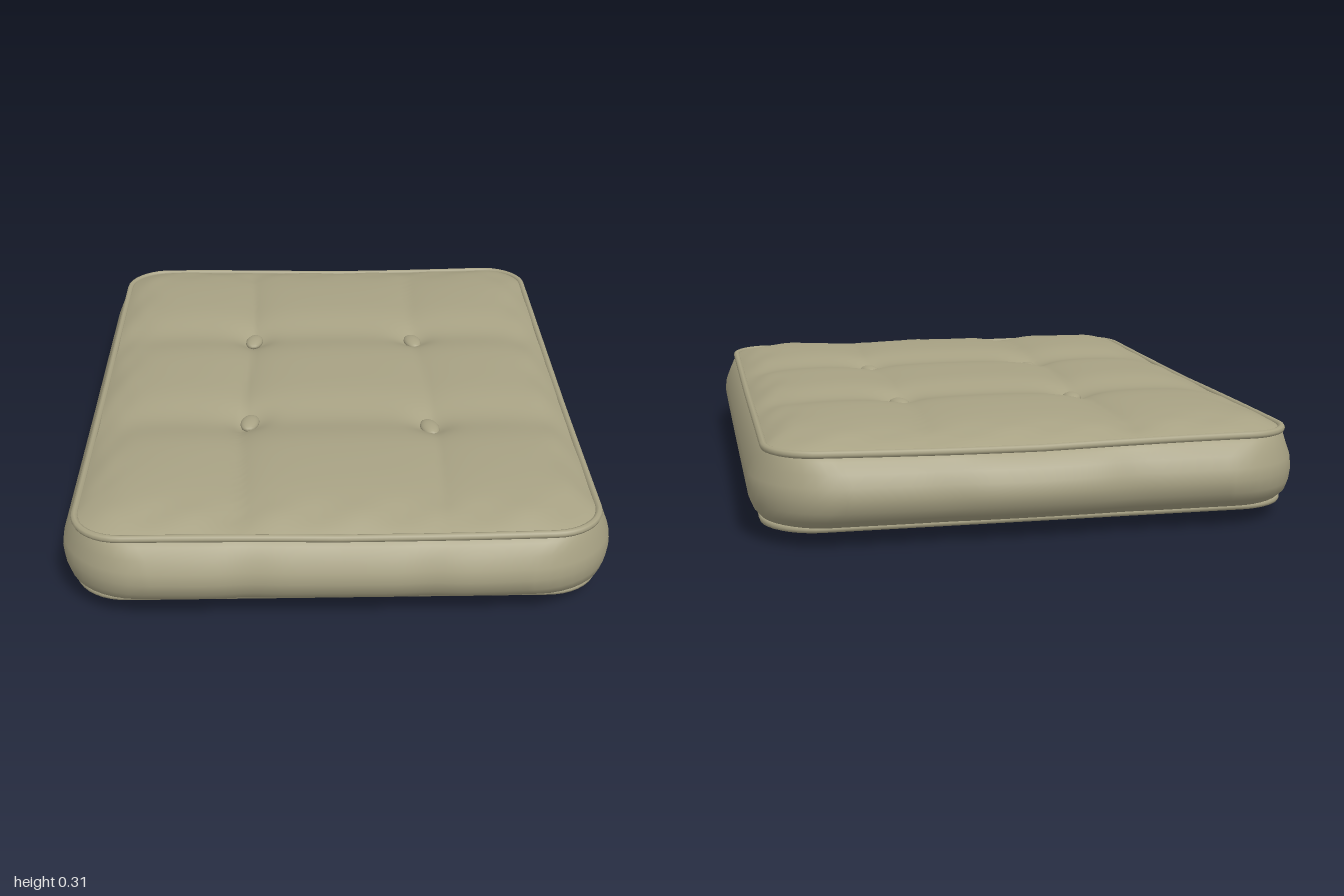
import * as THREE from 'three';

const EDGE = 56, CORNER = 10;
const gauss = (d, w) => Math.exp(-(d * d) / (w * w));
const TUFTS = [[-0.26, -0.3], [0.29, -0.29], [-0.26, 0.29], [0.3, 0.33]];
const FEET = [[-0.61, -0.69], [0.61, -0.69], [-0.61, 0.69], [0.61, 0.69]];

// Rounded rectangle in the xz plane; the same point count for any size
function outline(hx, hz, r) {
  const pts = [];
  const corners = [[1, 1], [-1, 1], [-1, -1], [1, -1]];
  corners.forEach(([sx, sz], c) => {
    const cx = sx * (hx - r), cz = sz * (hz - r);
    for (let i = 0; i <= CORNER; i++) {
      const a = (c + i / CORNER) * Math.PI / 2;
      pts.push([cx + r * Math.cos(a), cz + r * Math.sin(a)]);
    }
    const [nx, nz] = corners[(c + 1) % 4];
    const a = (c + 1) * Math.PI / 2;
    const from = pts[pts.length - 1];
    const to = [nx * (hx - r) + r * Math.cos(a), nz * (hz - r) + r * Math.sin(a)];
    for (let i = 1; i < EDGE; i++) {
      const t = i / EDGE;
      pts.push([from[0] + (to[0] - from[0]) * t, from[1] + (to[1] - from[1]) * t]);
    }
  });
  return pts;
}

// Skin a stack of closed rings, listed from below to above
function loft(rings) {
  const n = rings[0].length, index = [];
  for (let j = 0; j < rings.length - 1; j++) {
    for (let i = 0; i < n; i++) {
      const a = j * n + i, b = j * n + (i + 1) % n;
      index.push(a, a + n, b, b, a + n, b + n);
    }
  }
  const g = new THREE.BufferGeometry();
  g.setAttribute('position', new THREE.Float32BufferAttribute(rings.flat(2), 3));
  g.setIndex(index);
  g.computeVertexNormals();
  return g;
}

// Seams lift a little toward the corners
const rimLift = (x, z) => 0.008 * Math.min(1, Math.abs(x * z) / 0.6) + 0.002 * Math.sin(5 * x + 3 * z);
const TOP_RIM = outline(0.74, 0.935, 0.14);
const BOTTOM_RIM = outline(0.745, 0.91, 0.15);

// Pillowed surface with pulled creases and tufts
function topHeight(x, z, k) {
  const d = (1 - k) * 0.8;
  const rise = 1 - Math.exp(-d / 0.09);
  let y = 0.25 + rimLift(x, z) * (1 - rise) + 0.061 * rise;
  const wobble = 0.012 * Math.sin(4 * z);
  y -= rise * 0.026 * Math.exp(-Math.abs(x + 0.275 + wobble) / 0.07);
  y -= rise * 0.018 * Math.exp(-Math.abs(x - 0.3 - wobble) / 0.08);
  y -= rise * 0.022 * (gauss(z + 0.3, 0.11) + gauss(z - 0.31, 0.11));
  for (const [tx, tz] of TUFTS) y -= 0.022 * gauss(Math.hypot(x - tx, z - tz), 0.06);
  // Small gathers beside the rim
  y += 0.004 * gauss(d - 0.06, 0.05) * Math.sin(x * 27) * Math.sin(z * 23 + 1);
  return y;
}

function bottomHeight(x, z, k) {
  const t = THREE.MathUtils.smoothstep(k, 0.78, 1);
  let y = 0.01 + 0.038 * t + 0.002 * Math.sin(6 * x) * Math.sin(5 * z + 1);
  for (const [fx, fz] of FEET) y += 0.014 * gauss(Math.hypot(x - fx, z - fz), 0.06);
  return y;
}

export function createModel() {
  const group = new THREE.Group();
  const fabric = new THREE.MeshStandardMaterial({ color: 0xa8a284 });
  fabric.name = 'khaki fabric';
  const add = (geometry, name) => {
    const mesh = new THREE.Mesh(geometry, fabric);
    mesh.name = name;
    group.add(mesh);
    return mesh;
  };

  // Bulging side band: half width, half depth, corner radius, height
  const profile = [
    [0.735, 0.9, 0.15, 0.045], [0.752, 0.93, 0.18, 0.058], [0.77, 0.962, 0.21, 0.078],
    [0.782, 0.982, 0.24, 0.105], [0.787, 0.99, 0.25, 0.14], [0.782, 0.984, 0.24, 0.172],
    [0.768, 0.97, 0.22, 0.205], [0.752, 0.952, 0.18, 0.235], [0.735, 0.93, 0.14, 0.25],
  ];
  add(loft(profile.map(([hx, hz, r, y], j) => {
    const mid = Math.sin(Math.PI * j / (profile.length - 1));
    const top = j / (profile.length - 1);
    return outline(hx, hz, r).map(([x, z]) => {
      const pull = gauss(Math.abs(x) - 0.25, 0.07) * 0.008 + 0.003 * Math.sin(9 * x + 2 * z);
      const bow = 0.01 * (1 - (x / 0.8) ** 2) - pull;
      return [x, y + rimLift(x, z) * top, z + Math.sign(z) * mid * bow * Math.min(1, (z / 0.9) ** 8)];
    });
  })), 'sideBand');

  // Top and bottom panels as shrinking rings
  const STEPS = 48;
  const panel = (rim, height, inward) => loft(Array.from({ length: STEPS + 1 }, (_, j) => {
    const k = inward ? 1 - j / STEPS : j / STEPS;
    return rim.map(([x, z]) => [x * k, height(x * k, z * k, k), z * k]);
  }));
  add(panel(TOP_RIM, topHeight, true), 'topPanel');
  add(panel(BOTTOM_RIM, bottomHeight, false), 'bottomPanel');

  // Piping along both seams
  const piping = (rim, y, lift, radius, name) => {
    const pts = rim.map(([x, z]) => new THREE.Vector3(x, y + lift * rimLift(x, z), z));
    add(new THREE.TubeGeometry(new THREE.CatmullRomCurve3(pts, true), 260, radius, 8, true), name);
  };
  piping(TOP_RIM, 0.251, 1, 0.011, 'topPiping');
  piping(BOTTOM_RIM, 0.05, 0, 0.011, 'bottomPiping');

  // Tufting buttons above, small tufts below
  const button = new THREE.SphereGeometry(1, 16, 10);
  TUFTS.forEach(([x, z], i) => {
    const b = add(button, 'topButton' + (i + 1));
    b.position.set(x, 0.262, z);
    b.scale.set(0.029, 0.016, 0.048);
    b.rotation.y = i % 2 ? 0.2 : -0.15;
  });
  FEET.forEach(([x, z], i) => {
    const b = add(button, 'bottomButton' + (i + 1));
    b.position.set(x, 0.014, z);
    b.scale.set(0.042, 0.014, 0.032);
  });
  return group;
}
